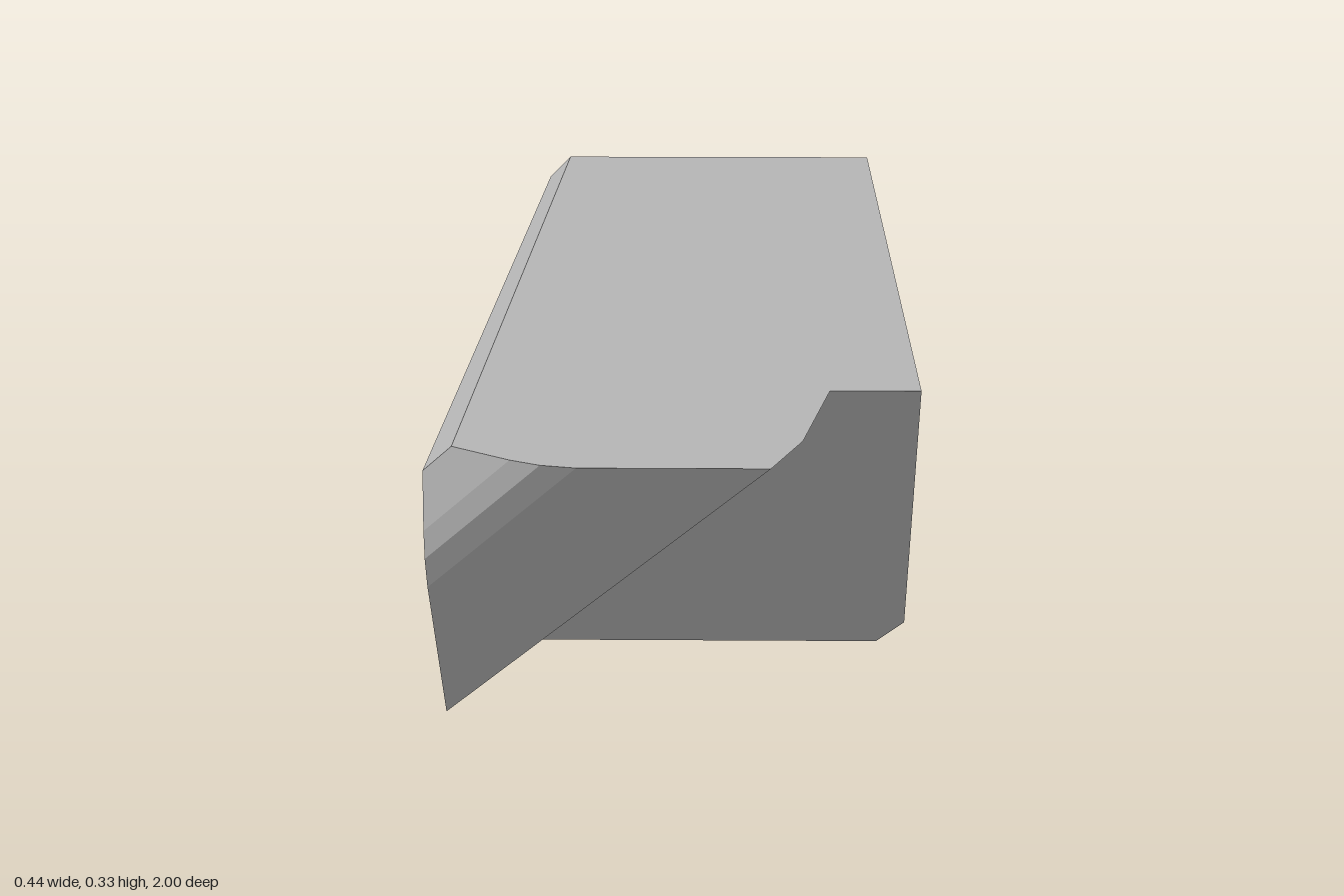
import * as THREE from 'three';

const H = 0.333, BACK = -1;

// Beam cross-section (x, y), counter-clockwise, with two opposite corners chamfered
const section = [[-0.222, 0], [0.194, 0], [0.222, 0.028], [0.222, H], [-0.194, H], [-0.222, 0.305]];

// Outline of the shaped end on the top face (x, z); it runs down along (-1, -1, -1)
const outline = [
  [-0.25, 0.86], [-0.14, 0.97], [-0.113, 0.99], [-0.082, 1],
  [0.081, 1], [0.109, 0.89], [0.137, 0.667], [0.6, 0.667],
];

// Where a cross-section point meets the top face when followed along the slant
const slant = ([x, y]) => x + H - y;

// Keep the part of a polygon on one side of a slant line
function clip(poly, limit, sign) {
  const out = [];
  poly.forEach((a, i) => {
    const b = poly[(i + 1) % poly.length];
    const da = sign * (slant(a) - limit), db = sign * (slant(b) - limit);
    if (da >= 0) out.push(a);
    if (da * db < 0) {
      const t = da / (da - db);
      out.push([a[0] + (b[0] - a[0]) * t, a[1] + (b[1] - a[1]) * t]);
    }
  });
  return out;
}

function beamGeometry() {
  const pos = [];
  const tri = (...pts) => pts.forEach((p) => pos.push(...p));

  for (let s = 0; s < outline.length - 1; s++) {
    const [u0, z0] = outline[s], [u1, z1] = outline[s + 1];
    const strip = clip(clip(section, u0, 1), u1, -1);
    if (strip.length < 3) continue;
    const front = strip.map((p) => [p[0], p[1],
      z0 + (z1 - z0) * (slant(p) - u0) / (u1 - u0) - (H - p[1])]);
    const back = strip.map((p) => [p[0], p[1], BACK]);

    // Shaped end and square end
    for (let i = 1; i < strip.length - 1; i++) {
      tri(front[0], front[i], front[i + 1]);
      tri(back[0], back[i + 1], back[i]);
    }
    // Long sides, skipping the inner cuts between strips
    strip.forEach((p, i) => {
      const j = (i + 1) % strip.length;
      const onCut = [u0, u1].some((u) =>
        Math.abs(slant(p) - u) < 1e-6 && Math.abs(slant(strip[j]) - u) < 1e-6);
      if (onCut) return;
      tri(front[i], back[i], back[j]);
      tri(front[i], back[j], front[j]);
    });
  }

  const geometry = new THREE.BufferGeometry();
  geometry.setAttribute('position', new THREE.Float32BufferAttribute(pos, 3));
  geometry.computeVertexNormals();
  return geometry;
}

export function createModel() {
  const group = new THREE.Group();
  group.name = 'notchedBeam';
  const grey = new THREE.MeshStandardMaterial({ color: 0xb4b4b4 });
  grey.name = 'grey';
  const beam = new THREE.Mesh(beamGeometry(), grey);
  beam.name = 'beam';
  group.add(beam);
  return group;
}
